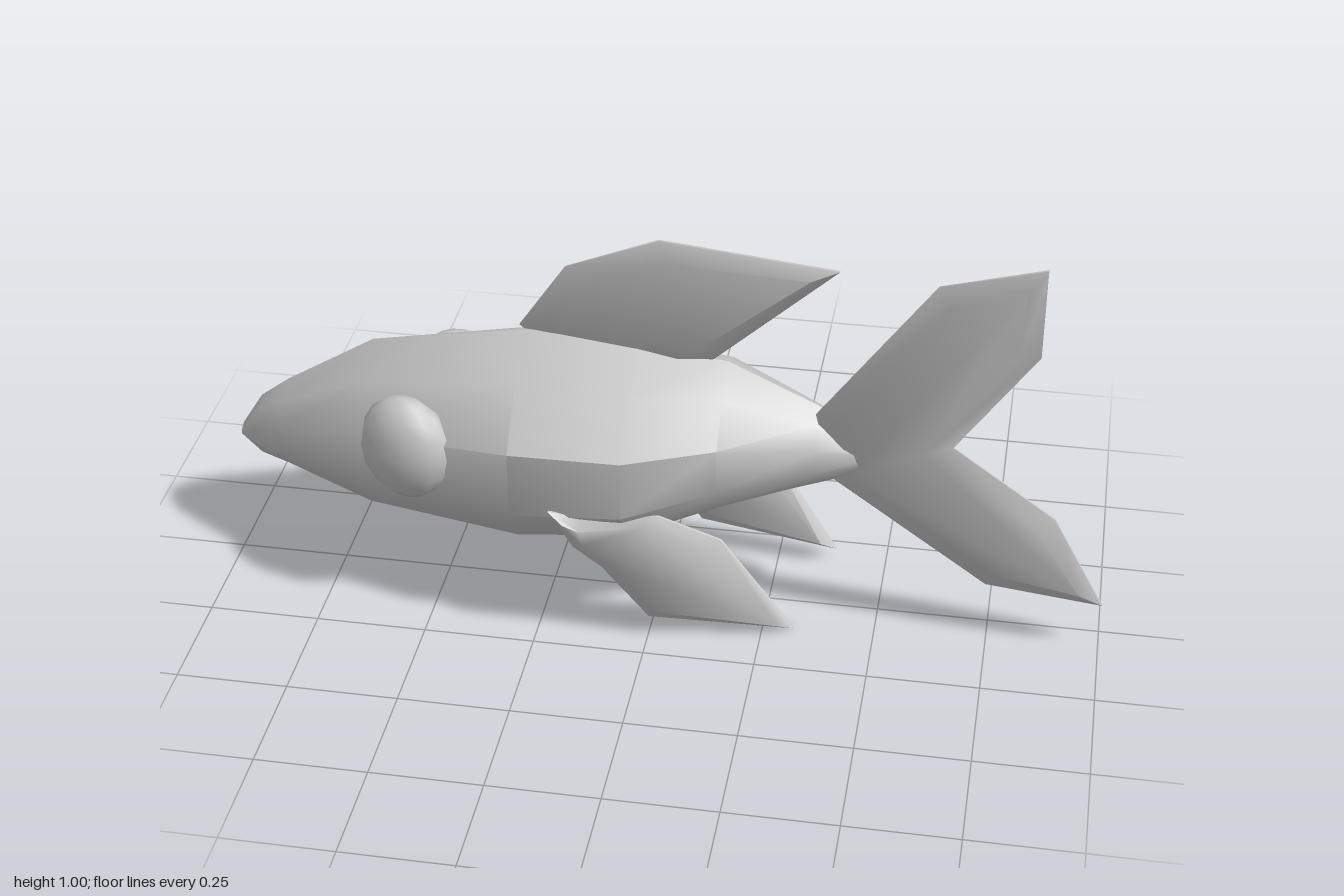
import * as THREE from 'three';
import { toCreasedNormals } from 'three/addons/utils/BufferGeometryUtils.js';

const material = new THREE.MeshStandardMaterial({ color: 0xcccccc });

function add(group, name, geometry, crease) {
  const mesh = new THREE.Mesh(toCreasedNormals(geometry, crease), material);
  mesh.name = name;
  group.add(mesh);
  return mesh;
}

// Body stations from snout to tail: x, top, bottom, z centre, half width
const stations = [
  [-1, 0.3, 0.265, -0.08, 0.02],
  [-0.95, 0.38, 0.21, -0.08, 0.055],
  [-0.88, 0.435, 0.19, -0.075, 0.09],
  [-0.66, 0.59, 0.125, -0.03, 0.165],
  [-0.3, 0.675, 0.105, 0.01, 0.225],
  [-0.05, 0.665, 0.15, 0.02, 0.222],
  [0.15, 0.645, 0.25, 0.02, 0.165],
  [0.35, 0.56, 0.345, 0.03, 0.08],
  [0.48, 0.49, 0.42, 0.055, 0.02],
];

// Slightly rolled cross-section (z, y), scaled at each station
const section = [
  [0, 1], [0.55, 0.76], [1, 0.35], [1, -0.2], [0.6, -0.6],
  [-0.2, -1], [-0.8, -0.65], [-1, -0.1], [-1, 0.35], [-0.6, 0.75],
];

function bodyGeometry() {
  const n = section.length, last = (stations.length - 1) * n;
  const points = [], index = [];
  for (const [x, top, bottom, z, half] of stations) {
    for (const [u, v] of section) {
      points.push(x, (top + bottom) / 2 + v * (top - bottom) / 2, z + u * half);
    }
  }
  for (let i = 0; i < last; i += n) {
    for (let j = 0; j < n; j++) {
      const a = i + j, b = i + (j + 1) % n;
      index.push(a, b, a + n, b, b + n, a + n);
    }
  }
  // End caps
  for (let j = 1; j < n - 1; j++) {
    index.push(0, j + 1, j, last, last + j, last + j + 1);
  }
  const geometry = new THREE.BufferGeometry();
  geometry.setAttribute('position', new THREE.Float32BufferAttribute(points, 3));
  geometry.setIndex(index);
  return geometry;
}

// Bevelled fin, leaned onto the plane z = a + b*x + c*y
function finGeometry(outline, [a, b, c], bevel = 0.045) {
  const shape = new THREE.Shape(outline.map(([x, y]) => new THREE.Vector2(x, y)));
  const depth = 0.006;
  const geometry = new THREE.ExtrudeGeometry(shape, {
    depth, bevelEnabled: true, bevelSegments: 1,
    bevelSize: bevel, bevelOffset: -bevel, bevelThickness: 0.02,
  });
  const p = geometry.attributes.position;
  for (let i = 0; i < p.count; i++) {
    p.setZ(i, p.getZ(i) - depth / 2 + a + b * p.getX(i) + c * p.getY(i));
  }
  return geometry;
}

export function createModel() {
  const fish = new THREE.Group();
  fish.name = 'fish';

  add(fish, 'body', bodyGeometry(), 0.7);

  // Fins on the back and tail
  add(fish, 'dorsalFin', finGeometry([
    [-0.32, 0.67], [-0.21, 0.84], [0, 0.94], [0.39, 0.92], [0.12, 0.65], [0.05, 0.6], [-0.25, 0.62],
  ], [-0.057, 0.09, 0.1]), 0.8);
  add(fish, 'tailFin', finGeometry([
    [0.35, 0.56], [0.6, 0.93], [0.82, 1], [0.82, 0.78], [0.65, 0.515],
    [0.88, 0.35], [1, 0.12], [0.74, 0.14], [0.39, 0.39],
  ], [-0.006, 0.05, 0.1]), 0.8);

  // Pectoral fins, the far one set a little higher and further back
  const pectoral = [
    [-0.21, 0.36], [-0.14, 0.345], [0, 0.355], [0.16, 0.27], [0.32, 0.005], [0, 0.05], [-0.1, 0.2], [-0.16, 0.26],
  ];
  add(fish, 'leftPectoralFin', finGeometry(pectoral, [0.165, -0.2, 0.1], 0.03), 0.8);
  add(fish, 'rightPectoralFin', finGeometry(
    pectoral.map(([x, y]) => [x + 0.065, y + 0.03]), [-0.193, 0.03, 0.06], 0.03), 0.8);

  // Bulging eyes
  for (const [name, x, y, z, yaw] of [
    ['leftEye', -0.545, 0.435, 0.155, -0.3],
    ['rightEye', -0.505, 0.415, -0.175, 0.1],
  ]) {
    const eye = add(fish, name, new THREE.SphereGeometry(1, 10, 8), 0.9);
    eye.scale.set(0.113, 0.125, 0.07);
    eye.position.set(x, y, z);
    eye.rotation.y = yaw;
  }
  return fish;
}
